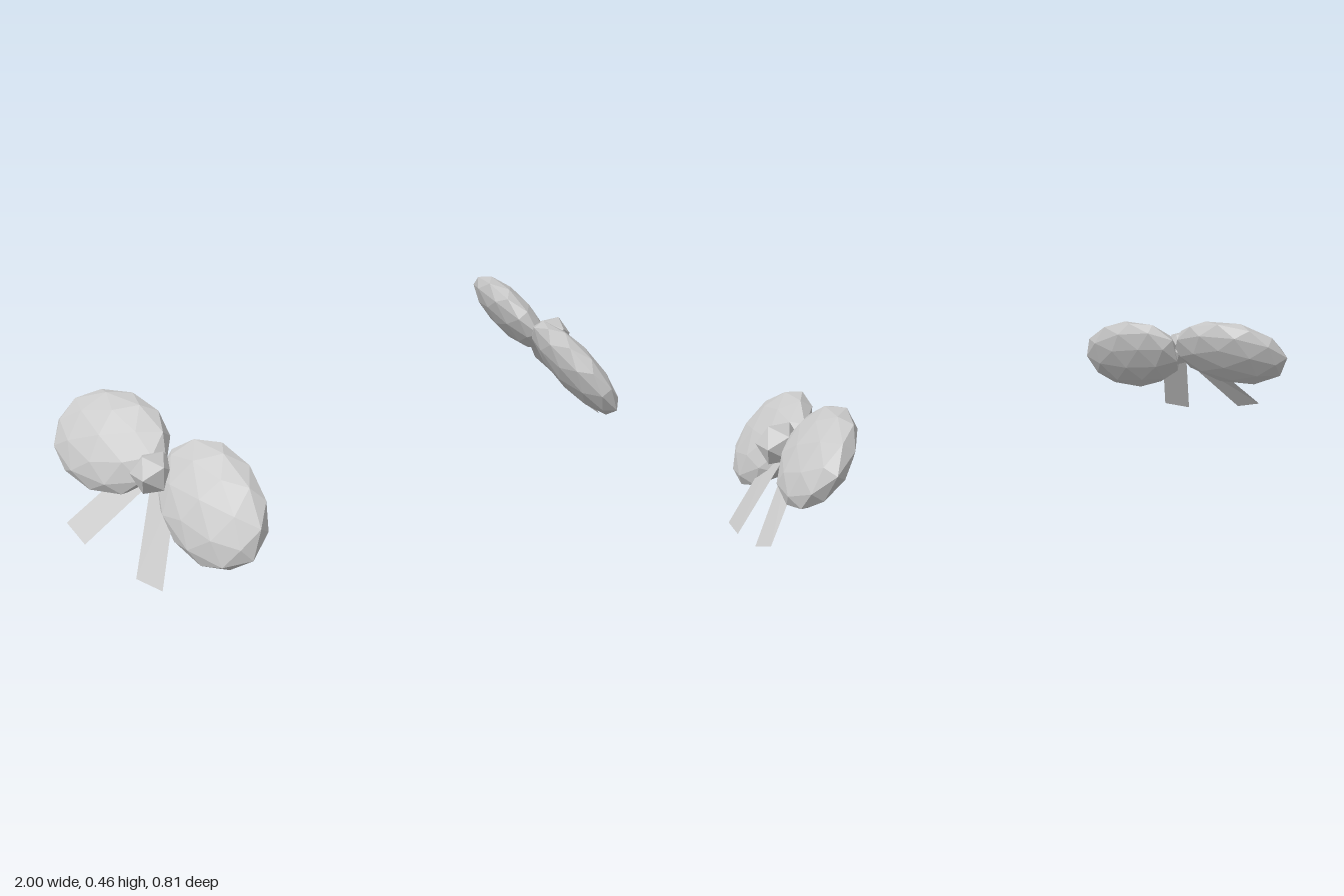
import * as THREE from 'three';

const ribbonGrey = new THREE.MeshStandardMaterial({ color: 0xc8c8c8, flatShading: true, side: THREE.DoubleSide });
ribbonGrey.name = 'ribbonGrey';

function addMesh(group, geometry, name) {
  geometry.computeVertexNormals();
  const mesh = new THREE.Mesh(geometry, ribbonGrey);
  mesh.name = name;
  group.add(mesh);
}

// One bow; side is +1 for the model's left, -1 for its right
function createBow(side) {
  const bow = new THREE.Group();
  const vec = ([x, y, z]) => new THREE.Vector3(side * x, y, z);

  // Puffy loop: a flattened faceted ball with a long axis and a face normal
  function loop(name, centre, along, normal, size) {
    const n = vec(normal).normalize();
    const u = vec(along);
    u.addScaledVector(n, -u.dot(n)).normalize();
    const v = n.clone().cross(u);
    const geometry = new THREE.IcosahedronGeometry(1, 1);
    geometry.scale(...size);
    geometry.applyMatrix4(new THREE.Matrix4().makeBasis(u, v, n).setPosition(vec(centre)));
    addMesh(bow, geometry, name);
  }
  loop('frontLoop', [0.753, 0.257, 0.203], [0.01, -0.45, 0.89], [0.79, 0.55, 0.27], [0.22, 0.156, 0.066]);
  loop('backLoop', [0.835, 0.34, -0.19], [0.28, 0.085, -0.955], [0.75, 0.6, 0.28], [0.212, 0.156, 0.066]);

  // Knot, leaning outwards
  const knot = new THREE.IcosahedronGeometry(0.067, 0);
  knot.rotateZ(side * 0.05);
  knot.translate(side * 0.828, 0.312, 0.025);
  addMesh(bow, knot, 'knot');

  // Flat ribbon tails, given by four corners from the top edge round
  function tail(name, corners) {
    const [a, b, c, d] = corners.map(vec);
    const order = side > 0 ? [a, b, c, a, c, d] : [a, c, b, a, d, c];
    addMesh(bow, new THREE.BufferGeometry().setFromPoints(order), name);
  }
  tail('frontTail', [[0.795, 0.29, 0.095], [0.922, 0.033, 0.19], [0.946, 0.038, 0.09], [0.815, 0.295, -0.003]]);
  tail('backTail', [[0.8, 0.29, 0.01], [0.995, 0.085, -0.105], [0.998, 0.12, -0.2], [0.79, 0.325, -0.08]]);
  return bow;
}

export function createModel() {
  const model = new THREE.Group();
  model.name = 'hairBows';
  const left = createBow(1);
  left.name = 'leftBow';
  // The right bow sits slightly lower and further back
  const right = createBow(-1);
  right.name = 'rightBow';
  right.position.set(0, -0.032, -0.015);
  model.add(left, right);
  return model;
}
